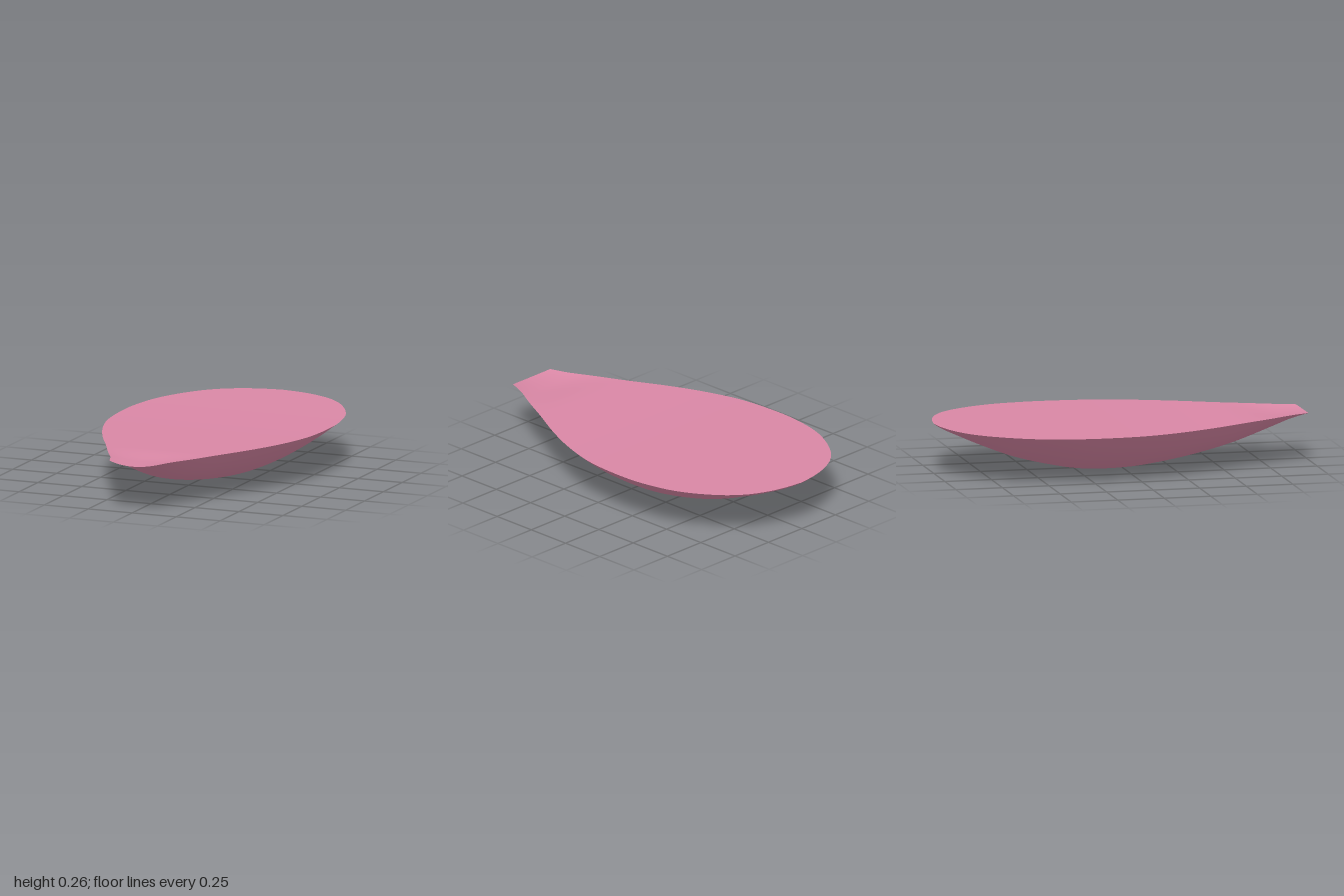
import * as THREE from 'three';
import { toCreasedNormals } from 'three/addons/utils/BufferGeometryUtils.js';

// Half width, keel height and z, from the round back to the narrow front lip
const stations = [
  [0, 0.265, -1], [0.12, 0.252, -0.982], [0.22, 0.235, -0.95], [0.32, 0.21, -0.895],
  [0.42, 0.165, -0.795], [0.53, 0.088, -0.6], [0.577, 0.036, -0.4], [0.586, 0.007, -0.23],
  [0.567, 0.004, 0], [0.51, 0.026, 0.2], [0.425, 0.062, 0.4], [0.32, 0.112, 0.6],
  [0.222, 0.183, 0.8], [0.175, 0.22, 0.9], [0.14, 0.249, 1],
].map((p) => new THREE.Vector3(...p));

const ROWS = 72;
const COLS = 40;

// Grid surface over the petal; heightAt(u, keel, rim, z) gives y, u runs -1..1 across
function petalSheet(heightAt, facesUp) {
  const curve = new THREE.CatmullRomCurve3(stations);
  const positions = [];
  const index = [];
  for (let i = 0; i <= ROWS; i++) {
    const p = curve.getPoint(i / ROWS);
    const rim = 0.255 + 0.01 * p.z * p.z;
    const bow = 0.025 * THREE.MathUtils.smoothstep(p.z, 0.7, 1); // rounded front lip
    for (let j = 0; j <= COLS; j++) {
      const u = (2 * j) / COLS - 1;
      positions.push(u * Math.max(p.x, 0), heightAt(u, p.y, rim, p.z), p.z - bow * u * u);
      if (i < ROWS && j < COLS) {
        const a = i * (COLS + 1) + j;
        const b = a + COLS + 1;
        if (facesUp) index.push(a, b, b + 1, a, b + 1, a + 1);
        else index.push(a, b + 1, b, a, a + 1, b + 1);
      }
    }
  }
  const geometry = new THREE.BufferGeometry();
  geometry.setAttribute('position', new THREE.Float32BufferAttribute(positions, 3));
  geometry.setIndex(index);
  return toCreasedNormals(geometry, Math.PI / 4);
}

export function createModel() {
  const group = new THREE.Group();
  group.name = 'petal';
  const material = new THREE.MeshStandardMaterial({ color: 0xd987a5 });

  const add = (name, geometry) => {
    const mesh = new THREE.Mesh(geometry, material);
    mesh.name = name;
    group.add(mesh);
  };

  // Rounded belly: parabolic cross-sections from keel to rim
  add('underside', petalSheet((u, keel, rim) => keel + (rim - keel) * u * u, false));

  // Nearly flat top with a shallow trough toward the front lip
  add('topFace', petalSheet((u, keel, rim, z) => {
    const dip = 0.016 * THREE.MathUtils.smoothstep(z, 0.62, 0.85);
    return rim - dip * (1 - u * u);
  }, true));

  return group;
}
